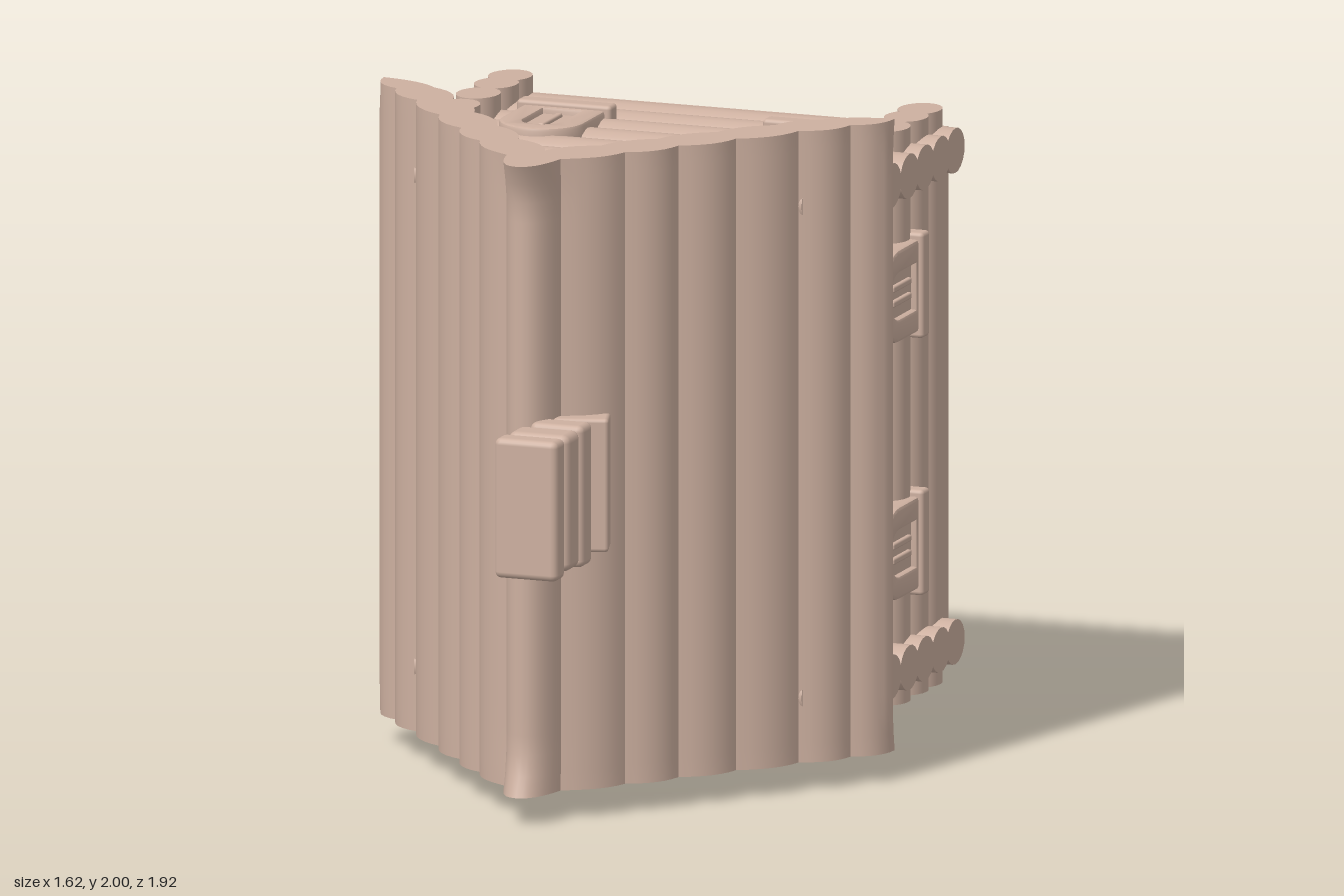
import * as THREE from 'three';
import { toCreasedNormals } from 'three/addons/utils/BufferGeometryUtils.js';
import { RoundedBoxGeometry } from 'three/addons/geometries/RoundedBoxGeometry.js';

// A log cabin lying on its back: its roof faces +z, its floor -z, its door -y.
const wood = new THREE.MeshStandardMaterial({ color: 0xcdb0a0 });
const V = (x, y, z) => new THREE.Vector3(x, y, z);

function add(parent, name, geometry, x = 0, y = 0, z = 0) {
  const mesh = new THREE.Mesh(geometry, wood);
  mesh.name = name;
  mesh.position.set(x, y, z);
  parent.add(mesh);
  return mesh;
}

function box(parent, name, x0, x1, y0, y1, z0, z1, r = 0.012) {
  const g = new RoundedBoxGeometry(x1 - x0, y1 - y0, z1 - z0, 2, r);
  return add(parent, name, g, (x0 + x1) / 2, (y0 + y1) / 2, (z0 + z1) / 2);
}

// Extrudes an outline in the x/z plane along y (outline stores -z as its y)
function extrudeAlongY(shape, y0, y1, steps = 1) {
  const g = new THREE.ExtrudeGeometry(shape, { depth: y1 - y0, steps, bevelEnabled: false, curveSegments: 6 });
  return g.rotateX(-Math.PI / 2).translate(0, y0, 0);
}

function archShape(w, h, base = 0) {
  const s = new THREE.Shape();
  s.moveTo(-w, base);
  s.lineTo(w, base);
  s.lineTo(w, h - w);
  s.absarc(0, h - w, w, 0, Math.PI, false);
  s.lineTo(-w, base);
  return s;
}

function slab(shape, depth, bevel) {
  const g = new THREE.ExtrudeGeometry(shape, {
    depth, bevelEnabled: bevel > 0, bevelSize: bevel, bevelThickness: bevel, bevelSegments: 2, curveSegments: 14,
  });
  return toCreasedNormals(g, 0.6);
}

// Arched opening: raised frame, sunk pane, ribs and sill; local y is up the wall, z outward
function archedOpening(name, w, h, normal, pos, ribs = 1) {
  const group = new THREE.Group();
  group.name = name;
  const frame = archShape(w, h);
  frame.holes.push(archShape(w - 0.05, h - 0.05, 0.03));
  add(group, 'frame', slab(frame, 0.06, 0.01), 0, 0, -0.05);
  add(group, 'pane', slab(archShape(w - 0.03, h - 0.03), 0.05, 0), 0, 0, -0.05);
  for (let i = 0; i < ribs; i++) {
    const x = (i - (ribs - 1) / 2) * 0.045;
    box(group, 'rib', x - 0.01, x + 0.01, 0.06, h - 0.1, -0.02, 0.012, 0.006);
  }
  box(group, 'sill', -w - 0.03, w + 0.03, -0.03, 0.03, -0.06, 0.035);
  const up = V(0, 0, 1);
  group.applyMatrix4(new THREE.Matrix4().makeBasis(up.clone().cross(normal), up, normal));
  group.position.copy(pos);
  return group;
}

function buildRoof() {
  const tip = [0.81, -0.25];
  const outer = [tip, [0.72, -0.12], [0.605, 0.01], [0.47, 0.175], [0.345, 0.325], [0.23, 0.47], [0.085, 0.62]];
  const inner = [[0, 0.53], [0.13, 0.41], [0.255, 0.26], [0.385, 0.11], [0.51, -0.04], [0.62, -0.17], tip];
  const s = new THREE.Shape();
  // Scalloped edge, each bulge pushed along the slope normal
  const scallop = (pts, side, bulge) => {
    for (let i = 1; i < pts.length; i++) {
      const [ax, az] = pts[i - 1], [bx, bz] = pts[i];
      const mx = (ax + bx) / 2 + bulge * 0.78, mz = (az + bz) / 2 + bulge * 0.62;
      s.quadraticCurveTo(side * mx, -mz, side * bx, -bz);
    }
  };
  s.moveTo(tip[0], -tip[1]);
  scallop(outer, 1, 0.055);
  s.quadraticCurveTo(0.06, -0.73, 0, -0.73);
  s.quadraticCurveTo(-0.06, -0.73, -0.085, -0.62);
  scallop([...outer].reverse(), -1, 0.055);
  scallop([...inner].reverse(), -1, -0.045);
  scallop(inner, 1, -0.045);
  const g = extrudeAlongY(s, 0.085, 2, 32);
  // Ridge and eaves flare out at both ends
  const p = g.attributes.position;
  for (let i = 0; i < p.count; i++) {
    const end = Math.min(p.getY(i) - 0.085, 2 - p.getY(i));
    const f = Math.max(0, 1 - end / 0.13) ** 1.5;
    const z = p.getZ(i);
    if (z > 0.6) p.setZ(i, z + f * 0.045 * (z - 0.6) / 0.13);
    if (z < -0.2) p.setZ(i, z + (1 - f) * 0.015);
  }
  g.computeVertexNormals();
  return toCreasedNormals(g, 0.6);
}

export function createModel() {
  const model = new THREE.Group();
  model.name = 'logCabin';

  // Solid core behind the logs, and the flat floor
  const core = new THREE.Shape([[-0.65, 0.94], [0.65, 0.94], [0.65, 0.2], [0, -0.56], [-0.65, 0.2]]
    .map(([x, y]) => new THREE.Vector2(x, y)));
  add(model, 'core', extrudeAlongY(core, 0.26, 1.79));
  add(model, 'floor', new THREE.BoxGeometry(1.42, 1.6, 0.06), 0, 1.025, -0.93);

  // Side wall logs, running along y
  for (const x of [-0.65, 0.65]) {
    for (const z of [-0.88, -0.765, -0.615, -0.445, -0.295]) {
      const log = new THREE.CylinderGeometry(1, 1, 1.74, 20).scale(0.065, 1, 0.08);
      add(model, 'sideLog', log, x, 1.02, z);
    }
  }

  // Gable logs, running along x and shortening under the roof
  const gableZ = [-0.885, -0.765, -0.635, -0.505, -0.36, -0.21, -0.065, 0.08, 0.235, 0.38, 0.5];
  for (const y of [0.28, 1.77]) {
    for (const z of gableZ) {
      const half = Math.min(0.76, 0.36 + (0.235 - z) * 0.85);
      const log = new THREE.CylinderGeometry(1, 1, 2 * half, 20).rotateZ(Math.PI / 2).scale(1, 0.068, 0.077);
      add(model, 'gableLog', log, 0, y, z);
    }
  }

  add(model, 'roof', buildRoof());

  // Windows on all four walls
  for (const s of [-1, 1]) {
    model.add(archedOpening('rearWindow', 0.12, 0.32, V(0, 1, 0), V(s * 0.39, 1.84, -0.67)));
    model.add(archedOpening('frontWindow', 0.12, 0.32, V(0, -1, 0), V(s * 0.42, 0.21, -0.7)));
    for (const y of [0.63, 1.41]) {
      model.add(archedOpening('sideWindow', 0.13, 0.31, V(s, 0, 0), V(s * 0.72, y, -0.66), 2));
    }
  }
  model.add(archedOpening('atticWindow', 0.11, 0.24, V(0, -1, 0), V(0, 0.21, -0.04)));

  // Door and its two steps
  model.add(archedOpening('door', 0.18, 0.55, V(0, -1, 0), V(0, 0.2, -0.88), 3));
  box(model, 'upperStep', -0.225, 0.225, 0.065, 0.26, -0.96, -0.912, 0.008);
  box(model, 'lowerStep', -0.295, 0.29, 0, 0.24, -0.96, -0.942, 0.005);

  // Chimney of stacked courses on the +x roof slope
  const chimney = new THREE.Group();
  chimney.name = 'chimney';
  model.add(chimney);
  box(chimney, 'core', 0.04, 0.17, 0.84, 1.17, 0.45, 0.92);
  box(chimney, 'cap', 0, 0.2, 0.79, 1.215, 0.88, 0.96, 0.02);
  box(chimney, 'course', 0.005, 0.2, 0.8, 1.215, 0.755, 0.865, 0.025);
  box(chimney, 'course', 0.03, 0.2, 0.79, 1.22, 0.655, 0.745, 0.02);
  const base = box(chimney, 'base', 0.05, 0.215, 0.815, 1.22, 0.49, 0.645);
  base.rotation.y = 0.3;

  return model;
}
